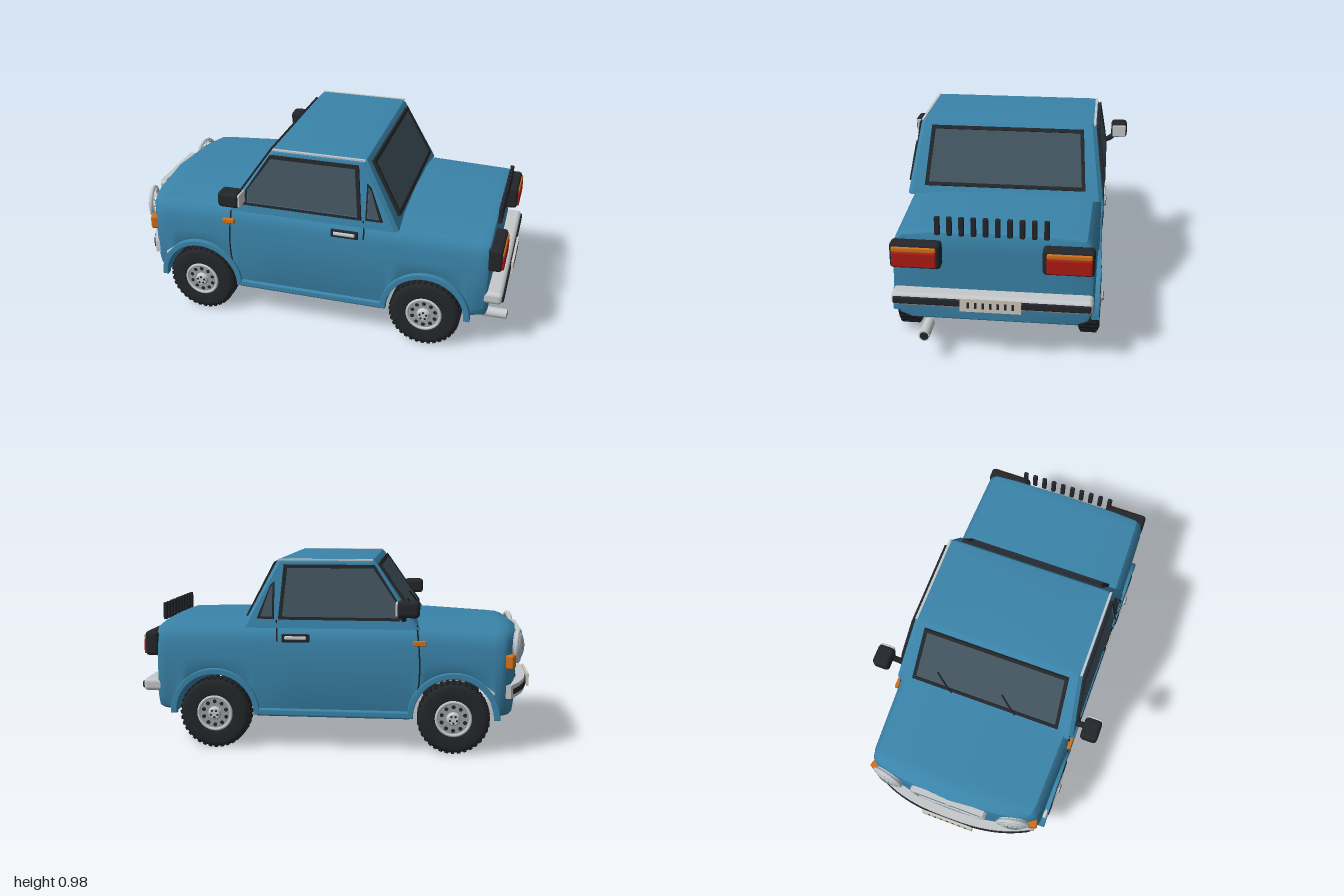
import * as THREE from 'three';
import { toCreasedNormals } from 'three/addons/utils/BufferGeometryUtils.js';
import { RoundedBoxGeometry } from 'three/addons/geometries/RoundedBoxGeometry.js';

const BLUE = 0x3a84aa, DARK = 0x23262a, GLASS = 0x42545f, CHROME = 0xc4c9cc, RED = 0xb01a14, ORANGE = 0xd2701a;
const V = (x, y, z) => new THREE.Vector3(x, y, z);
const mats = {};
const mat = c => mats[c] ??= new THREE.MeshStandardMaterial({ color: c });
const { clamp, lerp } = THREE.MathUtils;

function add(parent, name, geo, color, pos = [0, 0, 0], rot = [0, 0, 0]) {
  const m = new THREE.Mesh(geo, mat(color));
  m.name = name;
  m.position.set(...pos);
  m.rotation.set(...rot);
  parent.add(m);
  return m;
}
const box = (w, h, d) => new THREE.BoxGeometry(w, h, d);
const rbox = (w, h, d, r) => new RoundedBoxGeometry(w, h, d, 2, r);
const cyl = (r, h, n = 24) => new THREE.CylinderGeometry(r, r, h, n);
const tube = (pts, r) => new THREE.TubeGeometry(new THREE.CatmullRomCurve3(pts), 16, r, 5);

// Skin over closed rings of equal point count
function loft(rings, crease) {
  const n = rings[0].length, idx = [];
  for (let i = 0; i < rings.length - 1; i++) for (let j = 0; j < n; j++) {
    const a = i * n + j, d = i * n + (j + 1) % n, b = a + n, c = d + n;
    idx.push(a, b, c, a, c, d);
  }
  const g = new THREE.BufferGeometry().setFromPoints(rings.flat());
  g.setIndex(idx);
  return toCreasedNormals(g, crease);
}
// Piecewise linear lookup
function along(table, x) {
  if (x <= table[0][0]) return table[0][1];
  for (let i = 1; i < table.length; i++) {
    const [x0, y0] = table[i - 1], [x1, y1] = table[i];
    if (x <= x1) return lerp(y0, y1, (x - x0) / (x1 - x0));
  }
  return table.at(-1)[1];
}

// Lower body: cross-sections along the length, lifted over the wheels
const ARCH = 0.205, AXLES = [-0.6, 0.6], AXLE_Y = 0.18;
const topLine = [[-0.92, 0.605], [-0.86, 0.625], [-0.41, 0.65], [0.44, 0.645], [0.9, 0.635]];
const halfWidth = [[-0.92, 0.452], [-0.8, 0.467], [-0.4, 0.48], [0.4, 0.48], [0.9, 0.466]];
function bodySection(x, s) {
  let b = 0.18;
  for (const a of AXLES) if (Math.abs(x - a) < ARCH) b += Math.sqrt(ARCH ** 2 - (x - a) ** 2);
  const t = along(topLine, x), w = along(halfWidth, x);
  const c = lerp(0.035, 0.075, clamp((Math.abs(x) - 0.81) / 0.06, 0, 1));
  const half = [[w - c, b], [w - c * 0.3, b + c * 0.3], [w, b + c], [w, 0.46], [w - 0.004, t - 0.1],
    [w - 0.014, t - 0.05], [w - 0.04, t - 0.022], [0.3, t - 0.007]];
  const ring = [[0, b], ...half, [0, t], ...half.map(([z, y]) => [-z, y]).reverse()];
  const bow = 0.06 * clamp((-0.82 - x) / 0.1, 0, 1);
  return ring.map(([z, y]) => V(x + bow * (z * s / 0.46) ** 2, 0.4 + (y - 0.4) * s, z * s));
}
function bodyGeometry() {
  const st = [[-0.93, 0], [-0.93, 0.35], [-0.93, 0.7], [-0.928, 0.92], [-0.915, 0.975], [-0.89, 1], [-0.85, 1]];
  for (const a of AXLES) {
    for (let i = 0; i <= 24; i++) st.push([a - ARCH * Math.cos(i / 24 * Math.PI), 1]);
    if (a < 0) st.push([-0.2, 1], [0, 1], [0.2, 1]);
  }
  st.push([0.85, 1], [0.885, 1], [0.898, 0.985], [0.902, 0.96], [0.904, 0.6], [0.904, 0]);
  return loft(st.map(([x, s]) => bodySection(x, s)), 0.6);
}

// Cabin: chamfered rectangles stacked upward, crowned roof
function cabinRing([y, x0, x1, w]) {
  const e = Math.min(0.018, w * 0.3);
  const q = [[x1, w - e], [x1 - e, w], [x0 + e, w], [x0, w - e]];
  return [...q, ...q.map(([x, z]) => [x, -z]).reverse()].map(([x, z]) => V(x, y, z));
}

// Framed pane on the plane (origin, u, v)
function pane(parent, name, pts, o, u, v, rim, thick = 0.012, frameColor = DARK, fill = GLASS) {
  const g = new THREE.Group(), n = u.clone().cross(v);
  g.name = name;
  g.applyMatrix4(new THREE.Matrix4().makeBasis(u, v, n).setPosition(o));
  const P = pts.map(p => new THREE.Vector2(...p));
  const mid = P.reduce((a, p) => a.add(p), new THREE.Vector2()).divideScalar(P.length);
  const size = new THREE.Box2().setFromPoints(P).getSize(new THREE.Vector2());
  const inner = P.map(p => new THREE.Vector2(mid.x + (p.x - mid.x) * (1 - 2 * rim / size.x), mid.y + (p.y - mid.y) * (1 - 2 * rim / size.y)));
  const frame = new THREE.Shape(P);
  frame.holes.push(new THREE.Path(inner));
  const ex = (s, depth) => new THREE.ExtrudeGeometry(s, { depth, bevelEnabled: false });
  add(g, name + 'Frame', ex(frame, thick), frameColor);
  add(g, name + 'Fill', ex(new THREE.Shape(inner), thick * 0.5), fill);
  parent.add(g);
  return g;
}

function wheel(parent, x, s) {
  const g = new THREE.Group();
  g.name = 'wheel';
  g.position.set(x, AXLE_Y, s * 0.442);
  g.rotation.x = s * Math.PI / 2;
  const prof = [[0.085, -0.045], [0.1, -0.052], [0.15, -0.053], [0.17, -0.045], [0.177, -0.03], [0.177, 0.03],
    [0.17, 0.045], [0.15, 0.053], [0.1, 0.052], [0.085, 0.045]].map(p => new THREE.Vector2(...p));
  add(g, 'tire', new THREE.LatheGeometry(prof, 40), DARK);
  add(g, 'rim', cyl(0.088, 0.092, 32), 0x9a9fa3);
  add(g, 'rimLip', new THREE.TorusGeometry(0.084, 0.008, 8, 32), CHROME, [0, 0.048, 0], [Math.PI / 2, 0, 0]);
  add(g, 'hubCap', new THREE.CylinderGeometry(0.026, 0.036, 0.02, 20), CHROME, [0, 0.054, 0]);
  for (let i = 0; i < 36; i++) {
    const a = i / 36 * Math.PI * 2;
    add(g, 'tread', box(0.016, 0.082, 0.012), 0x1b1d20, [Math.sin(a) * 0.174, 0, Math.cos(a) * 0.174], [0, a, 0]);
  }
  for (let i = 0; i < 10; i++) {
    const a = i / 10 * Math.PI * 2;
    add(g, 'rimHole', cyl(0.01, 0.004, 10), DARK, [Math.sin(a) * 0.06, 0.046, Math.cos(a) * 0.06]);
    if (i % 2) add(g, 'bolt', cyl(0.006, 0.01, 6), DARK, [Math.sin(a) * 0.018, 0.062, Math.cos(a) * 0.018]);
  }
  parent.add(g);
}

// Plate with plain vertical bars
function plate(parent, x, s) {
  add(parent, 'plate', box(0.012, 0.066, 0.28), 0xd0ccc0, [x, 0.313, 0]);
  for (let i = -3; i <= 3; i++) add(parent, 'plateBar', box(0.004, 0.03, 0.011), DARK, [x + s * 0.005, 0.313, i * 0.034]);
}

// Crescent strip following the nose
function noseStrip(out, h, zMax) {
  const front = [], back = [];
  for (let i = -12; i <= 12; i++) {
    const z = i / 12 * zMax, x = -0.98 + 0.1 * Math.abs(z / 0.45) ** 2.6;
    front.push(new THREE.Vector2(x - out, z));
    back.unshift(new THREE.Vector2(x + 0.045, z));
  }
  return new THREE.ExtrudeGeometry(new THREE.Shape([...front, ...back]), { depth: h, bevelEnabled: false }).rotateX(Math.PI / 2);
}

export function createModel() {
  const car = new THREE.Group();
  car.name = 'car';
  add(car, 'body', bodyGeometry(), BLUE);
  add(car, 'cabin', loft([[0.62, -0.43, 0.455, 0.486], [0.65, -0.41, 0.44, 0.482], [0.945, -0.207, 0.285, 0.44], [0.957, -0.195, 0.275, 0.432],
    [0.966, -0.13, 0.22, 0.3], [0.974, -0.03, 0.12, 0.12], [0.975, 0.04, 0.04, 0]].map(cabinRing), 0.4), BLUE);

  // Windscreen and rear window
  const X = V(1, 0, 0), Y = V(0, 1, 0), Z = V(0, 0, 1);
  pane(car, 'windscreen', [[-0.4, 0.015], [0.4, 0.015], [0.38, 0.345], [-0.38, 0.345]], V(-0.412, 0.65, 0), Z, V(0.205, 0.295, 0).normalize(), 0.018);
  pane(car, 'rearWindow', [[-0.4, 0.015], [0.4, 0.015], [0.38, 0.32], [-0.38, 0.32]], V(0.441, 0.65, 0), Z.clone().negate(), V(-0.155, 0.295, 0).normalize(), 0.018, 0.016);
  for (const z of [-0.18, 0.17])
    add(car, 'wiper', tube([V(-0.415, 0.665, z), V(-0.39, 0.708, z - 0.045), V(-0.36, 0.752, z - 0.09)], 0.005), DARK);

  for (const s of [1, -1]) {
    // Side glass
    const o = V(0, 0.65, s * 0.483), u = X.clone().multiplyScalar(s), v = V(0, 0.295, -0.042 * s).normalize();
    pane(car, 'doorWindow', [[-0.335, 0.012], [-0.33, 0.09], [-0.205, 0.285], [0.245, 0.285], [0.27, 0.012]].map(([x, y]) => [s * x, y]), o, u, v, 0.016, 0.014);
    pane(car, 'quarterWindow', [[0.292, 0.015], [0.292, 0.2], [0.312, 0.18], [0.378, 0.015]].map(([x, y]) => [s * x, y]), o, u, v, 0.013);
    add(car, 'roofGutter', box(0.47, 0.008, 0.012), CHROME, [0.04, 0.956, s * 0.433]);

    // Door seams, handle, sill, side marker
    add(car, 'doorSeam', tube([V(-0.39, 0.2, s * 0.48), V(-0.425, 0.33, s * 0.48), V(-0.43, 0.46, s * 0.48), V(-0.415, 0.64, s * 0.468)], 0.004), DARK);
    add(car, 'doorSeam', tube([V(0.28, 0.55, s * 0.478), V(0.28, 0.6, s * 0.472), V(0.28, 0.66, s * 0.483)], 0.004), DARK);
    add(car, 'doorHandle', rbox(0.14, 0.042, 0.014, 0.006), DARK, [0.185, 0.57, s * 0.484]);
    add(car, 'doorHandleBar', rbox(0.11, 0.018, 0.016, 0.006), CHROME, [0.185, 0.572, s * 0.492]);
    add(car, 'sill', rbox(0.78, 0.04, 0.03, 0.012), BLUE, [0, 0.19, s * 0.476]);
    add(car, 'sideMarker', rbox(0.065, 0.027, 0.02, 0.006), ORANGE, [-0.43, 0.553, s * 0.483]);

    // Wheels and arch flares
    for (const a of AXLES) {
      wheel(car, a, s);
      const ring = new THREE.Shape().absarc(0, 0, 0.225, 0, Math.PI).absarc(0, 0, 0.203, Math.PI, 0, true);
      add(car, 'archFlare', new THREE.ExtrudeGeometry(ring, { depth: 0.03, bevelSize: 0.004, bevelThickness: 0.004, bevelSegments: 2, curveSegments: 24 }),
        BLUE, [a, AXLE_Y, s * 0.474 - 0.015]);
    }
    add(car, 'bumperEnd', rbox(0.09, 0.03, 0.02, 0.009), CHROME, [-0.76, 0.325, s * 0.478], [0, 0, 0.65]);

    // Mirrors
    add(car, 'mirrorArm', tube([V(-0.35, 0.67, s * 0.47), V(-0.35, 0.685, s * 0.51), V(-0.36, 0.72, s * 0.55)], 0.016), DARK);
    add(car, 'mirrorHousing', rbox(0.11, 0.08, 0.088, 0.02), DARK, [-0.375, 0.733, s * 0.563]);
    add(car, 'mirrorGlass', rbox(0.012, 0.066, 0.074, 0.005), CHROME, [-0.32, 0.733, s * 0.563]);

    // Headlights with lattice lens
    const h = new THREE.Group();
    h.name = 'headlight';
    h.position.set(-0.9, 0.528, s * 0.34);
    h.rotation.set(0, s * 0.22, Math.PI / 2);
    const lens = [[0.074, 0], [0.072, 0.026], [0.055, 0.036], [0.03, 0.042], [0, 0.044]].map(p => new THREE.Vector2(...p));
    add(h, 'headlightLens', new THREE.LatheGeometry(lens, 32), 0xb9c3c8);
    add(h, 'headlightRing', new THREE.TorusGeometry(0.076, 0.011, 10, 36), CHROME, [0, 0.018, 0], [Math.PI / 2, 0, 0]);
    for (let i = -2; i <= 2; i++) {
      const d = i * 0.024, l = Math.sqrt(0.066 ** 2 - d * d), y = 0.046 - d * d * 5;
      const arc = f => tube([-1, -0.5, 0, 0.5, 1].map(k => f(k * l, y - (k * l) ** 2 * 4)), 0.0018);
      add(h, 'lensRib', arc((p, q) => V(p, q, d)), 0x70787c);
      add(h, 'lensRib', arc((p, q) => V(d, q, p)), 0x70787c);
    }
    car.add(h);
    add(car, 'turnSignal', rbox(0.045, 0.07, 0.07, 0.01), ORANGE, [-0.875, 0.462, s * 0.425], [0, s * 0.3, 0]);

    // Tail lights
    add(car, 'tailLightHousing', rbox(0.07, 0.125, 0.235, 0.018), DARK, [0.925, 0.527, s * 0.348]);
    add(car, 'tailLightRed', rbox(0.03, 0.075, 0.205, 0.008), RED, [0.954, 0.512, s * 0.352]);
    add(car, 'tailLightOrange', rbox(0.03, 0.027, 0.205, 0.008), ORANGE, [0.952, 0.561, s * 0.352]);
  }

  // Grille
  pane(car, 'grille', [[-0.18, -0.06], [0.18, -0.06], [0.205, 0.04], [0.19, 0.06], [-0.19, 0.06], [-0.205, 0.04]], V(-0.918, 0.525, 0), Z, Y, 0.02, 0.03, CHROME, DARK);
  for (let i = -1; i <= 1; i++) add(car, 'grilleSlat', box(0.012, 0.007, 0.33), 0x6b7175, [-0.936, 0.525 + i * 0.023, 0]);
  add(car, 'grilleCentre', box(0.012, 0.04, 0.022), CHROME, [-0.941, 0.525, 0]);

  // Bumpers, plates, exhaust
  add(car, 'frontBumper', noseStrip(0, 0.066, 0.45), CHROME, [0, 0.346, 0]);
  add(car, 'frontBumperStrip', noseStrip(0.006, 0.026, 0.43), DARK, [0, 0.326, 0]);
  plate(car, -0.992, -1);
  add(car, 'rearBumper', rbox(0.115, 0.066, 0.93, 0.022), CHROME, [0.92, 0.313, 0]);
  add(car, 'rearBumperStrip', rbox(0.02, 0.036, 0.91, 0.008), DARK, [0.974, 0.313, 0]);
  plate(car, 0.989, 1);
  add(car, 'exhaustPipe', cyl(0.026, 0.125), CHROME, [0.935, 0.14, 0.31], [0, 0, Math.PI / 2]);
  add(car, 'exhaustBore', cyl(0.02, 0.004), DARK, [0.997, 0.14, 0.31], [0, 0, Math.PI / 2]);

  // Row of uprights along the tail
  for (let i = 0; i < 10; i++) add(car, 'tailUpright', rbox(0.02, 0.09, 0.025, 0.006), DARK, [0.915, 0.667, -0.247 + i * 0.055]);
  return car;
}
